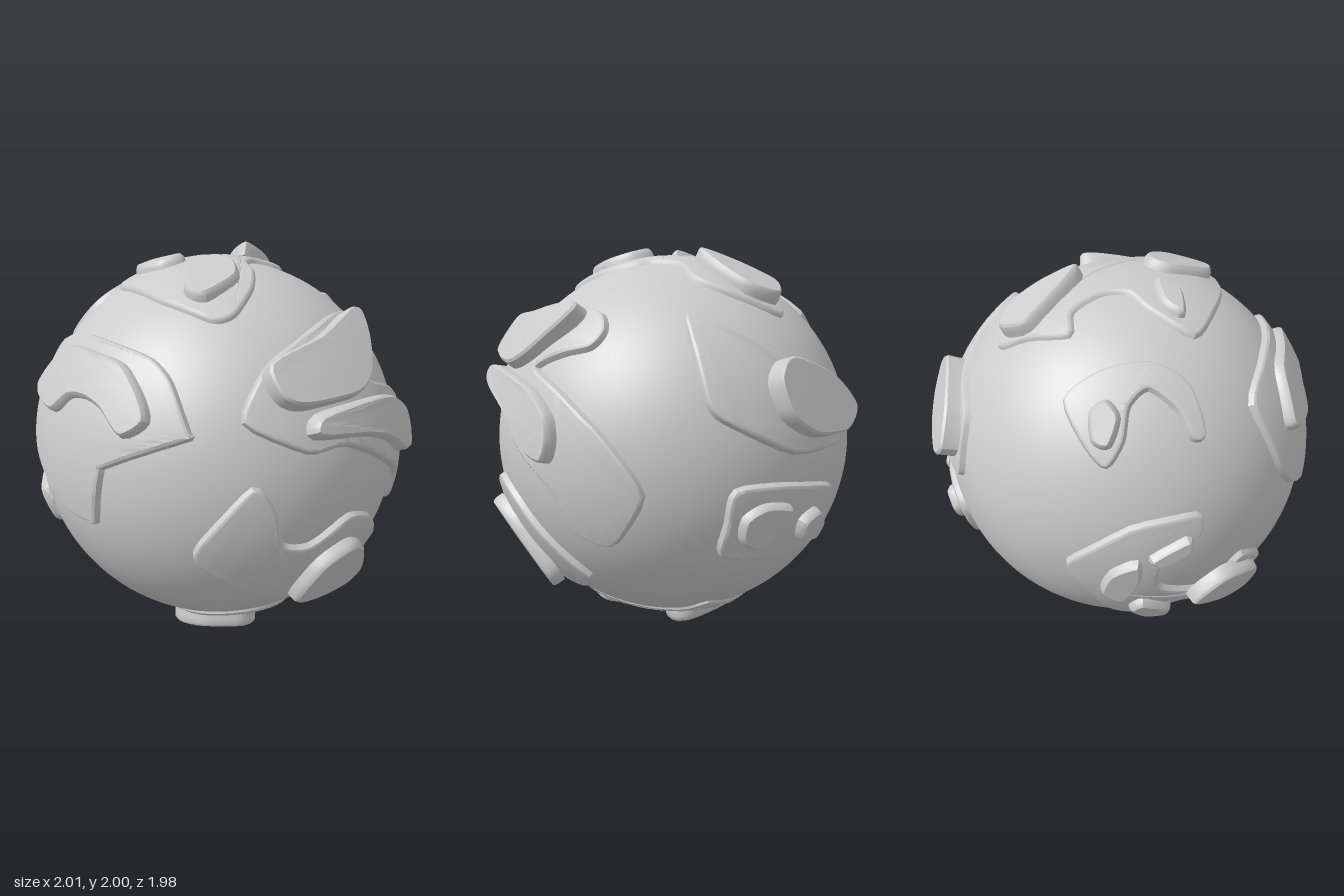
import * as THREE from 'three';
import { toCreasedNormals } from 'three/addons/utils/BufferGeometryUtils.js';

const R = 0.935;                                   // ocean radius
const CENTRE = new THREE.Vector3(0, 1, 0.03);
const PLATE = 0.966, MESA = 1.01;                  // top radii of the land layers

// A facing is a direction the globe is drawn from: azimuth and elevation in degrees.
const facing = (az, el) => {
  const a = az * Math.PI / 180, e = el * Math.PI / 180;
  return {
    right: new THREE.Vector3(Math.cos(a), 0, -Math.sin(a)),
    up: new THREE.Vector3(-Math.sin(e) * Math.sin(a), Math.cos(e), -Math.sin(e) * Math.cos(a)),
    out: new THREE.Vector3(Math.sin(a) * Math.cos(e), Math.sin(e), Math.cos(a) * Math.cos(e)),
  };
};
const front = facing(0, 0), side = facing(90, 0), top = facing(0, 90), bottom = facing(0, -90);
const backLeft = facing(215, 25), backRight = facing(145, -25);

// Lift outline points (hundredths of a unit, from the globe centre) onto the sphere.
const on = (f, pts, radius = 0.968) => pts.map(([u, v]) => {
  u /= 100; v /= 100;
  const k = Math.min(1, 0.995 * radius / Math.hypot(u, v));
  u *= k; v *= k;
  return new THREE.Vector3().addScaledVector(f.right, u).addScaledVector(f.up, v)
    .addScaledVector(f.out, Math.sqrt(radius * radius - u * u - v * v)).normalize();
});

// Raised slab over the sphere: rings climb from a flared foot to a rounded rim, then a cap.
function slab(dirs, rings, flat, levels) {
  const n = dirs.reduce((s, d) => s.add(d), new THREE.Vector3()).normalize();
  const e1 = new THREE.Vector3(0.31, 0.2, 0.93).cross(n).normalize();
  const e2 = n.clone().cross(e1);
  const flatten = d => { const k = 2 / (1 + d.dot(n)); return new THREE.Vector3(d.dot(e1) * k, d.dot(e2) * k, 0); };
  const lift = (q, r) => {
    const s = q.x * q.x + q.y * q.y, c = (4 - s) / (4 + s);
    return new THREE.Vector3().addScaledVector(e1, 4 * q.x / (4 + s)).addScaledVector(e2, 4 * q.y / (4 + s))
      .addScaledVector(n, c).multiplyScalar(r / THREE.MathUtils.lerp(1, c, flat));
  };
  const curve = new THREE.CatmullRomCurve3(dirs.map(flatten), true, 'catmullrom', 0.38);
  const line = curve.getPoints(dirs.length * 4).slice(0, -1).map(p => new THREE.Vector2(p.x, p.y));
  if (THREE.ShapeUtils.isClockWise(line)) line.reverse();
  const N = line.length;
  const loops = rings.map(([grow]) => line.map((p, i) => {
    const t = line[(i + 1) % N].clone().sub(line[(i + N - 1) % N]).normalize();
    return new THREE.Vector2(p.x + t.y * grow, p.y - t.x * grow);
  }));
  const pos = [];
  const put = (...vs) => vs.forEach(v => pos.push(v.x, v.y, v.z));
  for (let k = 0; k + 1 < rings.length; k++) {
    const at = (j, i) => lift(loops[j][i % N], rings[j][1]);
    for (let i = 0; i < N; i++) {
      const a = at(k, i), b = at(k, i + 1), c = at(k + 1, i + 1), d = at(k + 1, i);
      put(a, b, c, a, c, d);
    }
  }
  const rim = loops[loops.length - 1], rTop = rings[rings.length - 1][1];
  const split = (a, b, c, l) => {
    if (l === 0) return put(lift(a, rTop), lift(b, rTop), lift(c, rTop));
    const mid = (p, q) => p.clone().add(q).multiplyScalar(0.5);
    const ab = mid(a, b), bc = mid(b, c), ca = mid(c, a);
    split(a, ab, ca, l - 1); split(ab, b, bc, l - 1); split(ca, bc, c, l - 1); split(ab, bc, ca, l - 1);
  };
  THREE.ShapeUtils.triangulateShape(rim, []).forEach(([a, b, c]) => split(rim[a], rim[b], rim[c], levels));
  const g = new THREE.BufferGeometry();
  g.setAttribute('position', new THREE.Float32BufferAttribute(pos, 3));
  return toCreasedNormals(g, 0.6);
}

export function createModel() {
  const model = new THREE.Group();
  model.name = 'planet';
  const globe = new THREE.Group();
  globe.name = 'globe';
  globe.position.copy(CENTRE);
  model.add(globe);
  const mat = new THREE.MeshStandardMaterial({ color: 0xcccccc, side: THREE.DoubleSide });
  const add = (name, geo) => {
    const m = new THREE.Mesh(geo, mat);
    m.name = name;
    globe.add(m);
  };
  const plate = (name, dirs, r = PLATE) =>
    add(name, slab(dirs, [[0.02, R - 0.012], [0.008, R + 0.012], [0, r - 0.006], [-0.014, r]], 0, 3));
  const mesa = (name, f, pts, r = MESA, flat = 0.5) =>
    add(name, slab(on(f, pts, r), [[0.022, R], [0.012, PLATE + 0.004], [0.004, r - 0.012], [-0.008, r]], flat, 2));

  add('ocean', new THREE.SphereGeometry(R, 96, 64));

  // Front continent with a curved ridge
  plate('frontContinent', on(front, [[-76, 55], [-58, 65], [-39, 66], [-18, 63], [-7, 55], [3, 36], [2, 33], [-37, 16],
    [-39, 13], [-43, -13], [-46, -14], [-63, -12], [-84, 6], [-87, 24]]));
  mesa('frontRidge', front, [[-80, 40], [-70, 54], [-61, 61], [-45, 62], [-30, 60], [-20, 50], [-16, 40], [-27, 33],
    [-38, 42], [-48, 45], [-58, 43], [-68, 34], [-78, 35]], 1.0, 0.2);

  // Long continent on the left side with two ridges
  plate('sideContinent', on(side, [[-84, 40], [-68, 60], [-49, 69], [-21, 74], [-3, 72], [3, 65], [-1, 58], [-16, 54],
    [-32, 46], [-11, 37], [16, 19], [34, -6], [19, -31], [8, -32], [-5, -26], [-10, -10], [-32, 5], [-61, 24], [-76, 25]]));
  mesa('sideUpperRidge', side, [[-78, 50], [-72, 62], [-48, 70], [-17, 75], [-12, 72], [-21, 64], [-37, 52], [-52, 46], [-74, 46]], 1.015);
  mesa('sideLowerRidge', side, [[-76, 33], [-72, 40], [-48, 41], [-27, 37], [-13, 27], [-10, 16], [-13, 7], [-24, 9], [-37, 19], [-53, 27]], 1.01, 0.3);

  // Lower front continent
  plate('lowerContinent', [
    ...on(front, [[32, 11], [41, 0], [45, -19], [57, -23]]),
    ...on(side, [[-61, -13], [-43, -21], [-21, -40], [-4, -56], [-13, -66], [-37, -64]]),
    ...on(front, [[49, -59], [28, -47], [6, -25], [15, -8]])]);
  mesa('lowerMesa', side, [[-72, -32], [-61, -27], [-48, -35], [-27, -56], [-28, -65], [-48, -64], [-69, -53]], 1.0, 0.9);

  // Polar continent with three mesas
  plate('polarContinent', on(top, [[9, 66], [-4, 57], [-21, 43], [-10, 36], [-9, 19], [-16, 8], [-30, 5], [-49, -8], [-37, -27],
    [-18, -45], [7, -56], [17, -51], [22, -32], [20, -13], [15, -3], [17, 13], [29, 28], [25, 48]]), 0.96);
  mesa('polarBackMesa', top, [[-3, 56], [9, 63], [20, 53], [19, 37], [11, 21], [3, 35]], 1.01, 0.8);
  mesa('polarSmallMesa', top, [[-40, -7], [-32, -2], [-17, -7], [-26, -14]], 0.995, 1);
  mesa('polarFrontMesa', top, [[-7, -21], [1, -14], [11, -19], [14, -32], [3, -48], [-7, -43]], 0.995, 0.8);

  // Hooked island
  plate('hookIsland', on(top, [[-70, 51], [-61, 56], [-43, 57], [-45, 40], [-53, 19], [-66, 6], [-81, 6], [-81, 12],
    [-72, 15], [-61, 24], [-62, 35], [-69, 42]]));
  mesa('hookMesa', top, [[-69, 49], [-64, 54], [-57, 51], [-58, 44], [-65, 42]], 1.0, 1);

  // Back continent
  plate('backContinent', [
    ...on(top, [[49, 43], [55, 37], [70, 56]]),
    ...on(backRight, [[-15, 62], [17, 49], [52, 42], [56, 46]]),
    ...on(top, [[3, 88], [27, 78], [43, 59]])]);
  mesa('backMesa', backRight, [[7, 79], [17, 84], [44, 73], [56, 58], [47, 53], [26, 58], [11, 67]], 1.025, 0.9);

  // Small back island
  plate('backIsland', on(backRight, [[-15, 36], [11, 36], [44, 25], [49, 14], [38, -6], [5, -3], [-18, 3], [-18, 20]]));
  mesa('backIslandMesa', backRight, [[-11, 25], [-1, 30], [13, 27], [11, 20], [-2, 9], [-11, 14]], 1.0, 0.9);
  mesa('backIslandKnob', backRight, [[23, 17], [32, 20], [38, 12], [34, 4], [24, 7]], 1.01, 1);

  // Southern continent
  plate('southContinent', on(bottom, [[41, -43], [13, -45], [-32, -43], [-35, 0], [-20, 35], [5, 54], [30, 50], [44, 25], [33, -15]]), 0.955);
  mesa('southBackMesa', bottom, [[27, -16], [20, -8], [0, -12], [-17, -26], [-16, -33], [5, -31], [24, -24]], 0.995, 0.8);
  mesa('southFrontMesa', bottom, [[-17, 32], [-5, 23], [15, 22], [25, 30], [20, 42], [0, 47], [-12, 42]], 1.01, 0.9);

  // Bay-shaped continent on the right side with four mesas
  plate('bayContinent', on(backLeft, [[14, -48], [42, -23], [67, -12], [69, -22], [56, -38], [53, -55], [68, -57], [78, -46],
    [84, -36], [88, -40], [82, -52], [72, -63], [55, -66], [47, -77], [29, -77], [22, -62]]));
  mesa('bayInnerMesa', backLeft, [[31, -60], [36, -48], [47, -40], [47, -51], [39, -63]], 1.0, 0.9);
  mesa('bayUpperMesa', backLeft, [[53, -36], [66, -24], [67, -30], [57, -39]], 1.0, 0.9);
  mesa('bayLowerMesa', backLeft, [[41, -72], [47, -66], [56, -70], [53, -75], [45, -77]], 1.0, 0.9);
  mesa('bayOuterMesa', backLeft, [[67, -61], [80, -45], [89, -43], [83, -57], [75, -65]], 1.01, 0.9);

  return model;
}
